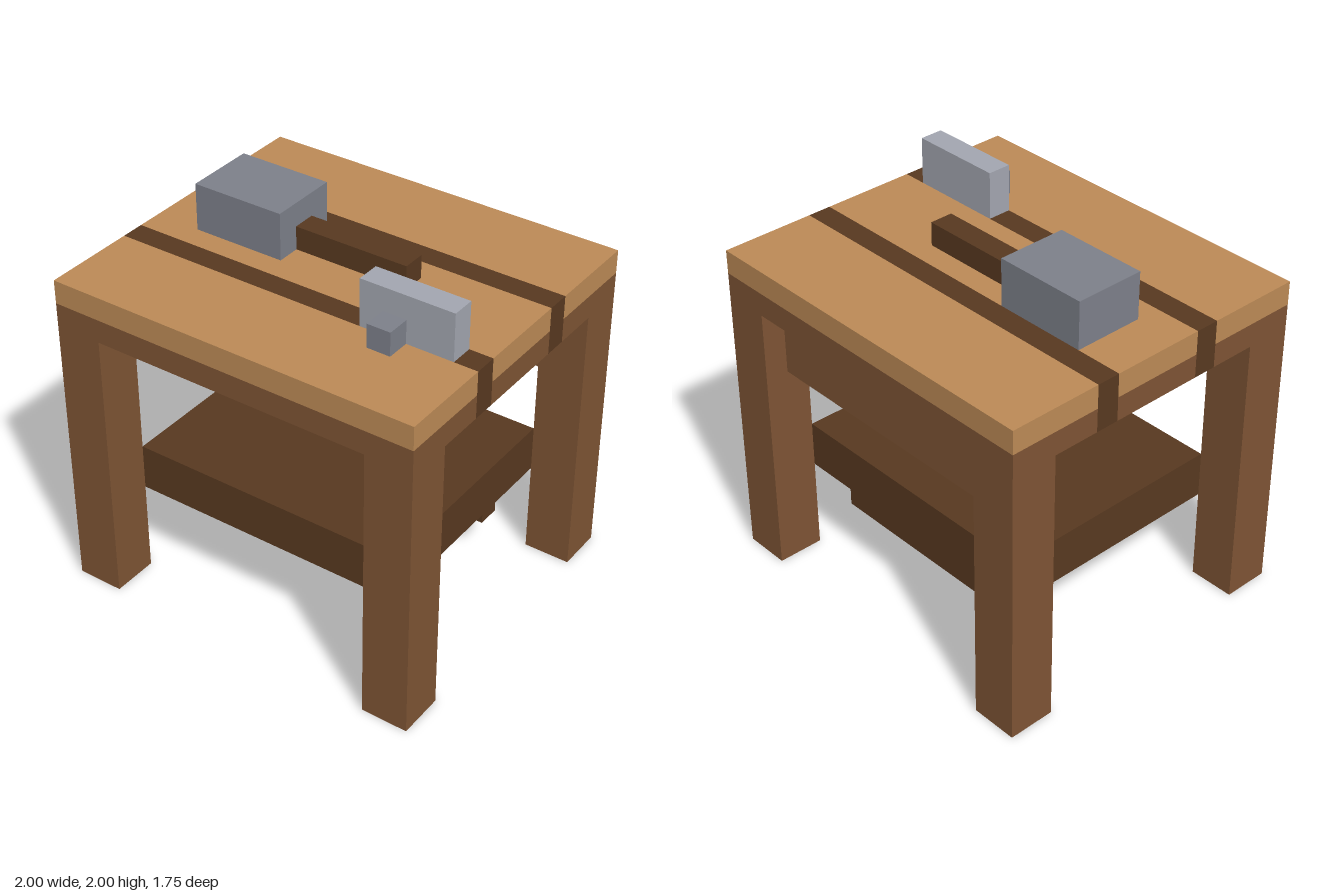
import * as THREE from 'three';

const flat = (name, color) => {
  const m = new THREE.MeshStandardMaterial({ color });
  m.name = name;
  return m;
};

export function createModel() {
  const lightWood = flat('lightWood', 0xbc8a56);
  const midWood = flat('midWood', 0x7e5434);
  const darkWood = flat('darkWood', 0x583920);
  const steel = flat('steel', 0x7d808a);
  const paleSteel = flat('paleSteel', 0xa3a6b0);

  const table = new THREE.Group();
  table.name = 'workTable';

  // Box given by its minimum and maximum on each axis
  const box = (name, mat, [x0, x1], [y0, y1], [z0, z1], parent = table) => {
    const mesh = new THREE.Mesh(new THREE.BoxGeometry(x1 - x0, y1 - y0, z1 - z0), mat);
    mesh.position.set((x0 + x1) / 2, (y0 + y1) / 2, (z0 + z1) / 2);
    mesh.name = name;
    parent.add(mesh);
  };

  // Table top: planks over a frame, divided by two dark inlaid strips
  for (const z of [[-0.875, -0.375], [-0.25, 0.25], [0.375, 0.875]]) {
    box('topPlank', lightWood, [-1, 1], [1.625, 1.75], z);
    box('topFrame', midWood, [-1, 1], [1.5, 1.625], z);
  }
  for (const z of [[-0.375, -0.25], [0.25, 0.375]]) {
    box('inlaidStrip', darkWood, [-1, 1], [1.5, 1.75], z);
  }

  // Four legs
  for (const x of [[-1, -0.75], [0.75, 1]]) {
    for (const z of [[-0.875, -0.625], [0.625, 0.875]]) {
      box('leg', midWood, x, [0, 1.5], z);
    }
  }

  // Back panel, shelf and the rail under it
  box('backPanel', midWood, [-0.75, 0.75], [1.125, 1.5], [-0.75, -0.625]);
  box('shelf', darkWood, [-0.75, 0.75], [0.5, 0.75], [-0.625, 0.625]);
  box('shelfRail', darkWood, [-0.625, 0.625], [0.25, 0.5], [-0.5, -0.375]);

  // Hammer lying on the top
  const hammer = new THREE.Group();
  hammer.name = 'hammer';
  table.add(hammer);
  box('hammerHead', steel, [-0.75, -0.25], [1.75, 2], [-0.25, 0.125], hammer);
  box('hammerHandle', darkWood, [-0.25, 0.375], [1.75, 1.875], [-0.125, 0], hammer);

  // Upright metal plate with a small block in front
  const clamp = new THREE.Group();
  clamp.name = 'clamp';
  table.add(clamp);
  box('clampPlate', paleSteel, [0.375, 0.875], [1.75, 2], [0.25, 0.375], clamp);
  box('clampBlock', steel, [0.5, 0.625], [1.75, 1.875], [0.375, 0.5], clamp);

  return table;
}
